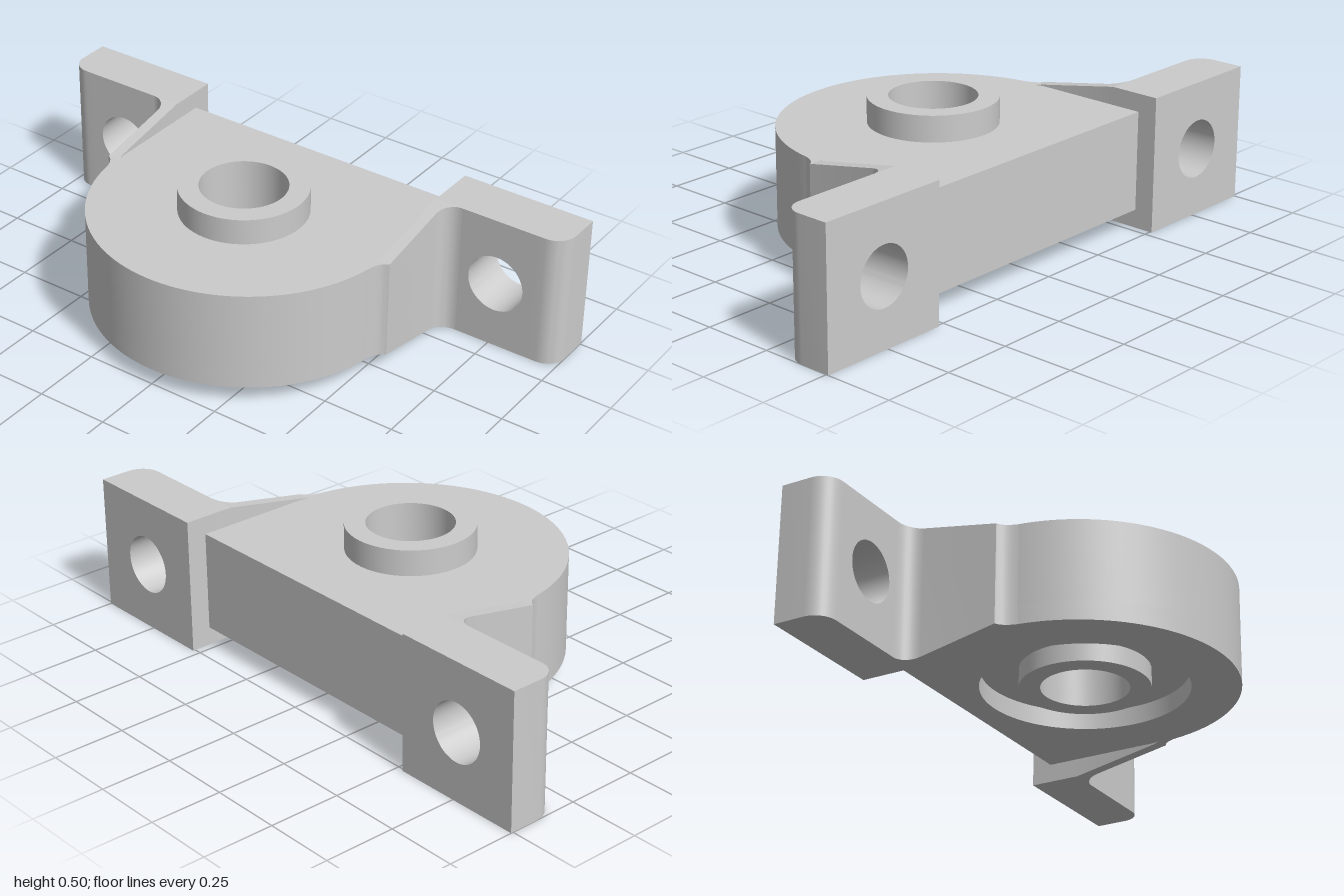
import * as THREE from 'three';
import { toCreasedNormals } from 'three/addons/utils/BufferGeometryUtils.js';

const material = new THREE.MeshStandardMaterial({ color: 0xcccccc });
const LOW = 0.064, HIGH = 0.41, TALL = 0.473;   // body bottom, body top, lug height
const HALF = 0.526, BACK = -0.437;              // body sides and back
const ARC_Z = -0.024, ARC_R = 0.532;            // rounded front of the body
const LUG_BACK = -0.508, LUG_FRONT = -0.329;

function addMesh(parent, name, geometry) {
  const mesh = new THREE.Mesh(geometry, material);
  mesh.name = name;
  parent.add(mesh);
}

// Points [x, z] along an arc, angles in degrees
function arc(cx, cz, r, from, to, n) {
  return Array.from({ length: n + 1 }, (_, i) => {
    const a = THREE.MathUtils.degToRad(from + ((to - from) * i) / n);
    return [cx + r * Math.cos(a), cz + r * Math.sin(a)];
  });
}

// Counter-clockwise, so the hole wall faces inward for either outline direction
function circleHole(x, y, r) {
  return new THREE.Path().absarc(x, y, r, 0, Math.PI * 2, false);
}

// Plan outline [x, z] raised between heights given by functions of z
function prism(points, bottom, top, holeRadius) {
  const shape = new THREE.Shape(points.map(([x, z]) => new THREE.Vector2(x, -z)));
  if (holeRadius) shape.holes.push(circleHole(0, 0, holeRadius));
  const geo = new THREE.ExtrudeGeometry(shape, { depth: 1, bevelEnabled: false, curveSegments: 48 });
  geo.rotateX(-Math.PI / 2);
  const p = geo.attributes.position;
  for (let i = 0; i < p.count; i++) {
    const z = p.getZ(i);
    p.setY(i, p.getY(i) > 0.5 ? top(z) : bottom(z));
  }
  geo.computeVertexNormals();
  return toCreasedNormals(geo, 0.5);
}

// Web edges slope from the body height out to the lug height
const slope = (z) => THREE.MathUtils.clamp(z / LUG_FRONT, 0, 1);
const webTop = (z) => HIGH + (TALL - HIGH) * slope(z);
const webBottom = (z) => LOW * (1 - slope(z));

function createBracket(side) {
  const bracket = new THREE.Group();
  bracket.name = side > 0 ? 'leftBracket' : 'rightBracket';
  const mirror = (points) => points.map(([x, z]) => [x * side, z]);
  const add = (name, points) => addMesh(bracket, name, prism(mirror(points), webBottom, webTop));

  // Lug: inner block, drilled middle and rounded outer end
  add('lugInner', [[HALF, LUG_BACK], [0.64, LUG_BACK], [0.64, LUG_FRONT], [HALF, LUG_FRONT]]);
  add('lugOuter', [[0.9, LUG_BACK], [1, LUG_BACK],
    ...arc(0.93, LUG_FRONT - 0.07, 0.07, 0, 90, 10), [0.9, LUG_FRONT]]);
  const plate = new THREE.Shape([[0.64, 0], [0.9, 0], [0.9, TALL], [0.64, TALL]]
    .map(([x, y]) => new THREE.Vector2(x * side, y)));
  plate.holes.push(circleHole(0.763 * side, TALL / 2, 0.101));
  const drilled = new THREE.ExtrudeGeometry(plate,
    { depth: LUG_FRONT - LUG_BACK, bevelEnabled: false, curveSegments: 32 });
  drilled.translate(0, 0, LUG_BACK);
  addMesh(bracket, 'lugDrilled', toCreasedNormals(drilled, 0.5));

  // Tapering web with a fillet into the lug
  add('web', [[HALF, LUG_FRONT], ...arc(0.625, LUG_FRONT + 0.06, 0.06, 270, 180, 10),
    [0.565, 0], [HALF - 0.01, 0], [HALF, ARC_Z]]);

  // Small fillet from the web into the round body
  const curve = new THREE.QuadraticBezierCurve(new THREE.Vector2(0.565, 0),
    new THREE.Vector2(0.537, 0.012), new THREE.Vector2(0.525, 0.06));
  add('webTip', [[0.518, 0], ...curve.getPoints(8).map((v) => [v.x, v.y])]);
  return bracket;
}

export function createModel() {
  const model = new THREE.Group();
  model.name = 'bearingBracket';

  // Rounded body: an upper layer, and a lower layer opened for the groove
  const outline = [[-HALF, BACK], [HALF, BACK], [HALF, ARC_Z],
    ...arc(0, ARC_Z, ARC_R, 0, 180, 64), [-HALF, ARC_Z]];
  const GROOVE_TOP = LOW + 0.065;
  addMesh(model, 'body', prism(outline, () => GROOVE_TOP, () => HIGH, 0.18));
  addMesh(model, 'grooveRim', prism(outline, () => LOW, () => GROOVE_TOP, 0.346));

  // Hub tube through the body
  const profile = [[0.147, LOW], [0.217, LOW], [0.217, 0.5], [0.147, 0.5], [0.147, LOW]];
  const hub = new THREE.LatheGeometry(profile.map(([x, y]) => new THREE.Vector2(x, y)), 64);
  addMesh(model, 'hub', toCreasedNormals(hub, 0.5));

  for (const side of [1, -1]) model.add(createBracket(side));
  return model;
}
